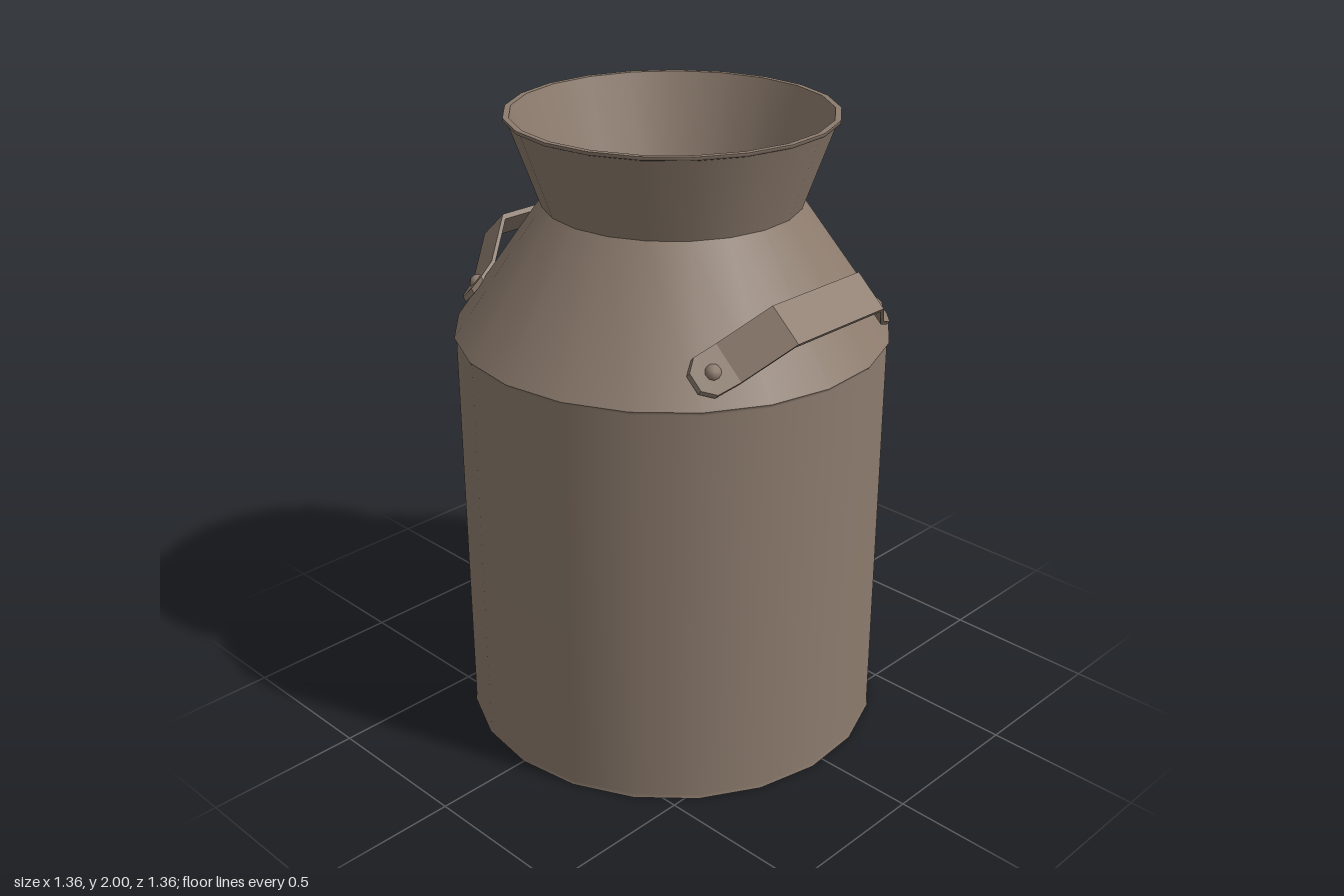
import * as THREE from 'three';

const SEGMENTS = 21;

export function createModel() {
  const group = new THREE.Group();
  const metal = new THREE.MeshStandardMaterial({ color: 0x8c7b6d });
  metal.name = 'warm grey metal';

  // Each band is its own lathe, so the seams between bands stay sharp.
  // Profiles run upward for outside faces and downward for inside faces.
  const band = (name, ...profile) => {
    const points = profile.map(([r, y]) => new THREE.Vector2(r, y));
    const mesh = new THREE.Mesh(new THREE.LatheGeometry(points, SEGMENTS), metal);
    mesh.name = name;
    group.add(mesh);
  };

  // Outside
  band('base', [0, 0], [0.68, 0]);
  band('bodyWall', [0.68, 0], [0.677, 0.012], [0.675, 1.31], [0.682, 1.322]);
  band('shoulder', [0.682, 1.322], [0.4, 1.725]);
  band('neck', [0.4, 1.725], [0.492, 1.985]);
  band('lipEdge', [0.492, 1.985], [0.505, 1.99], [0.505, 2.0]);
  band('lipTop', [0.505, 2.0], [0.487, 2.0]);

  // Inside
  band('neckInside', [0.487, 2.0], [0.39, 1.725]);
  band('shoulderInside', [0.39, 1.725], [0.66, 1.315]);
  band('wallInside', [0.66, 1.315], [0.66, 0.02]);
  band('floorInside', [0.66, 0.02], [0, 0.02]);

  // Handle frame: U runs across the strap, N stands off the shoulder
  const origin = new THREE.Vector3(0.515, 1.42, 0);
  const U = new THREE.Vector3(0.74, -0.67, 0).normalize();
  const N = new THREE.Vector3(0.67, 0.74, 0).normalize();
  const at = (z, n, w) =>
    origin.clone().addScaledVector(N, n).addScaledVector(U, w).setZ(z);

  // Strap stations: z, stand-off, half width
  const half = [
    [0.415, -0.045, 0.03],
    [0.385, -0.028, 0.064],
    [0.32, 0.01, 0.066],
    [0.19, 0.148, 0.066],
  ];
  const stations = [...half, ...half.slice().reverse().map(([z, n, w]) => [-z, n, w])];
  const thickness = 0.018;
  const rings = stations.map(([z, n, w]) => [
    at(z, n + thickness, -w), at(z, n + thickness, w), at(z, n, w), at(z, n, -w),
  ]);
  const corners = [];
  const quad = (a, b, c, d) => corners.push(a, b, c, a, c, d);
  for (let i = 0; i < rings.length - 1; i++) {
    const a = rings[i], b = rings[i + 1];
    for (let k = 0; k < 4; k++) {
      const m = (k + 1) % 4;
      quad(a[k], a[m], b[m], b[k]);
    }
  }
  quad(...rings[0].slice().reverse());
  quad(...rings[rings.length - 1]);
  const strapGeometry = new THREE.BufferGeometry().setFromPoints(corners);
  strapGeometry.computeVertexNormals();

  const rivetGeometry = new THREE.SphereGeometry(0.026, 10, 6);

  // The two handles are half a turn apart
  for (const [name, turn] of [['leftHandle', 0], ['rightHandle', Math.PI]]) {
    const handle = new THREE.Group();
    handle.name = name;
    const strap = new THREE.Mesh(strapGeometry, metal);
    strap.name = 'strap';
    handle.add(strap);
    for (const side of [1, -1]) {
      const rivet = new THREE.Mesh(rivetGeometry, metal);
      rivet.name = 'rivet';
      rivet.position.copy(at(side * 0.36, -0.005, 0));
      handle.add(rivet);
    }
    handle.rotation.y = turn;
    group.add(handle);
  }
  return group;
}
